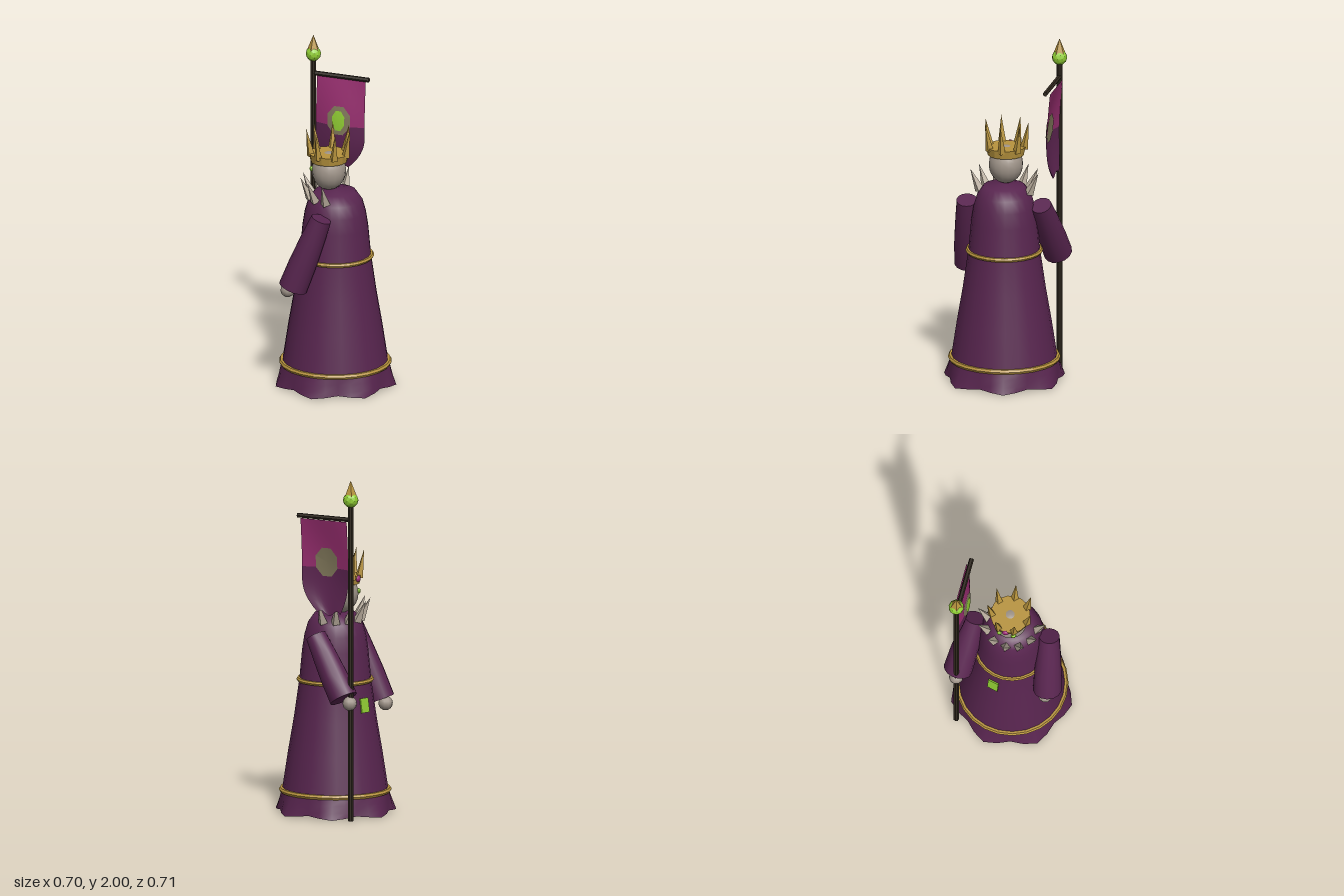
import * as THREE from 'three';
import { toCreasedNormals } from 'three/addons/utils/BufferGeometryUtils.js';

const mat = (name, color, flat = false, side = THREE.FrontSide) => {
  const m = new THREE.MeshStandardMaterial({ color, flatShading: flat, side });
  m.name = name;
  return m;
};
const V = (x, y, z) => new THREE.Vector3(x, y, z);
const UP = V(0, 1, 0);

export function createModel() {
  const root = new THREE.Group();
  root.name = 'robedKing';
  const robe = mat('robe purple', 0x58254f);
  const gold = mat('gold', 0xb8943e, true);
  const bone = mat('bone', 0xb5a999, true);
  const skin = mat('grey skin', 0xa0958a);
  const wood = mat('dark wood', 0x30281e, true);
  const green = mat('glowing green', 0x8fcc33, true);
  const gemMat = mat('gem magenta', 0x9c2a78);
  const flagTop = mat('banner magenta', 0x962d6e, false, THREE.DoubleSide);
  const flagLow = mat('banner purple', 0x5c2450, false, THREE.DoubleSide);
  const olive = mat('banner olive', 0x80775a, false, THREE.DoubleSide);

  const add = (name, geo, material, x = 0, y = 0, z = 0) => {
    const m = new THREE.Mesh(geo, material);
    m.name = name;
    m.position.set(x, y, z);
    root.add(m);
    return m;
  };
  const lathe = (pts, n) => new THREE.LatheGeometry(pts.map(p => new THREE.Vector2(...p)), n);
  // four-sided spike from a base point to a tip
  const spike = (name, base, tip, r, material) => {
    const d = tip.clone().sub(base);
    const m = add(name, new THREE.ConeGeometry(r, d.length(), 4), material);
    m.position.copy(base).add(tip).multiplyScalar(0.5);
    m.quaternion.setFromUnitVectors(UP, d.normalize());
    return m;
  };

  // Robe body
  add('robe', lathe([[0.312, 0.1], [0.274, 0.35], [0.24, 0.55], [0.208, 0.775], [0.192, 0.95],
    [0.178, 1.04], [0.158, 1.11], [0.12, 1.165], [0, 1.178]], 24), robe);

  // Wavy hem, closed underneath
  const hem = new THREE.CylinderGeometry(0.312, 0.34, 0.12, 28, 3);
  const hp = hem.attributes.position;
  for (let i = 0; i < hp.count; i++) {
    const x = hp.getX(i), z = hp.getZ(i), t = 0.5 - hp.getY(i) / 0.12;
    const wave = Math.cos(7 * (Math.atan2(z, x) - Math.PI / 2));
    const f = 1 + 0.055 * t * wave;
    hp.setX(i, x * f);
    hp.setZ(i, z * f);
    if (t > 0.9 && Math.hypot(x, z) > 0.1) hp.setY(i, hp.getY(i) + 0.008 * (1 - wave));
  }
  add('hem', toCreasedNormals(hem, 0.9), robe, 0, 0.06, 0);

  // Gold bands
  for (const [name, r, tube, y] of [['waistBand', 0.212, 0.013, 0.775], ['hemBand', 0.312, 0.015, 0.128]]) {
    add(name, new THREE.TorusGeometry(r, tube, 6, 24), gold, 0, y, 0).rotation.x = Math.PI / 2;
  }

  // Green patch on the robe front
  const patch = add('robePatch', new THREE.BoxGeometry(0.008, 0.085, 0.065), green, -0.225, 0.645, -0.055);
  patch.rotation.set(0, -0.24, -0.16);

  // Sleeves and hands
  const arm = (side, shoulder, wrist, hand) => {
    const d = shoulder.clone().sub(wrist), L = d.length();
    const geo = lathe([[0, 0], [0.084, 0], [0.081, 0.35 * L], [0.071, 0.7 * L], [0.06, L], [0, L]], 14);
    const m = add(side + 'Sleeve', toCreasedNormals(geo, 0.8), robe, ...wrist);
    m.quaternion.setFromUnitVectors(UP, d.normalize());
    add(side + 'Hand', new THREE.SphereGeometry(0.042, 10, 8), skin, ...hand);
  };
  arm('free', V(0.005, 1.06, 0.222), V(-0.16, 0.63, 0.253), V(-0.195, 0.61, 0.25));
  arm('staff', V(0.005, 1.06, -0.222), V(-0.205, 0.715, -0.27), V(-0.245, 0.69, -0.27));

  // Head with eyes
  const HX = -0.04;
  add('head', new THREE.SphereGeometry(0.1, 16, 12), skin, HX, 1.282, 0).scale.y = 1.13;
  for (const s of [-1, 1]) {
    add('eye', new THREE.SphereGeometry(0.016, 8, 6), green, HX - 0.088, 1.295, s * 0.042);
  }

  // Crown: band, seven points and a gem
  add('crownBand', new THREE.CylinderGeometry(0.116, 0.106, 0.05, 16), gold, HX, 1.366, 0);
  for (let i = 0; i < 7; i++) {
    const a = i * Math.PI * 2 / 7, c = Math.cos(a), s = Math.sin(a);
    spike('crownPoint', V(HX + 0.104 * c, 1.375, 0.104 * s), V(HX + 0.132 * c, 1.54, 0.132 * s), 0.025, gold);
  }
  add('crownGem', new THREE.SphereGeometry(0.02, 10, 8), gemMat, HX - 0.112, 1.375, 0).scale.x = 0.6;

  // Bone spikes of the collar, around the front half
  for (let i = 0; i < 7; i++) {
    const a = Math.PI / 2 + i * Math.PI / 6, c = Math.cos(a), s = Math.sin(a);
    spike('collarSpike', V(0.145 * c, 1.125, 0.145 * s), V(0.203 * c, 1.25, 0.203 * s), 0.03, bone);
  }

  // Staff with orb, spearhead and crossbar
  const SX = -0.25, SZ = -0.268;
  add('staff', new THREE.CylinderGeometry(0.017, 0.017, 1.86, 8), wood, SX, 0.93, SZ);
  add('staffOrb', new THREE.IcosahedronGeometry(0.045, 1), green, SX, 1.885, SZ);
  add('spearhead', new THREE.ConeGeometry(0.036, 0.09, 5), gold, SX, 1.955, SZ);
  add('crossbar', new THREE.CylinderGeometry(0.014, 0.014, 0.35, 6), wood, SX + 0.175, 1.768, SZ).rotation.z = Math.PI / 2;

  // Banner: cloth surface over u (across) and v (down)
  const cloth = (u, v, off = 0) => {
    const k = Math.max(0, (v - 0.65) / 0.35);
    const w = 0.305 * (1 - 0.5 * k * k);
    return [-0.0825 - 0.03 * k * k + (u - 0.5) * w,
      1.757 - 0.55 * v + 0.015 * k * Math.sin(u * 9),
      -0.29 + 0.05 * Math.sin(Math.PI * v * 0.85) * (0.4 + 0.6 * Math.sin(Math.PI * u)) + off];
  };
  const drape = (geo, toUV, off) => {
    const p = geo.attributes.position;
    for (let i = 0; i < p.count; i++) p.setXYZ(i, ...cloth(...toUV(p.getX(i), p.getY(i)), off));
    geo.computeVertexNormals();
    return geo;
  };
  const strip = (v0, v1) => drape(new THREE.PlaneGeometry(1, 1, 10, 8),
    (x, y) => [x + 0.5, v0 + (0.5 - y) * (v1 - v0)], 0);
  add('bannerUpper', strip(0, 0.52), flagTop);
  add('bannerLower', strip(0.52, 1), flagLow);
  // Emblem on both faces
  for (const s of [-1, 1]) {
    const disc = (ru, rv, off) => drape(new THREE.RingGeometry(0.001, 1, 8, 4, Math.PI / 8),
      (x, y) => [0.5 + x * ru, 0.46 - y * rv], s * off);
    add('emblemBorder', disc(0.25, 0.165, 0.004), olive);
    add('emblemCore', disc(0.135, 0.115, 0.007), green);
  }
  return root;
}
